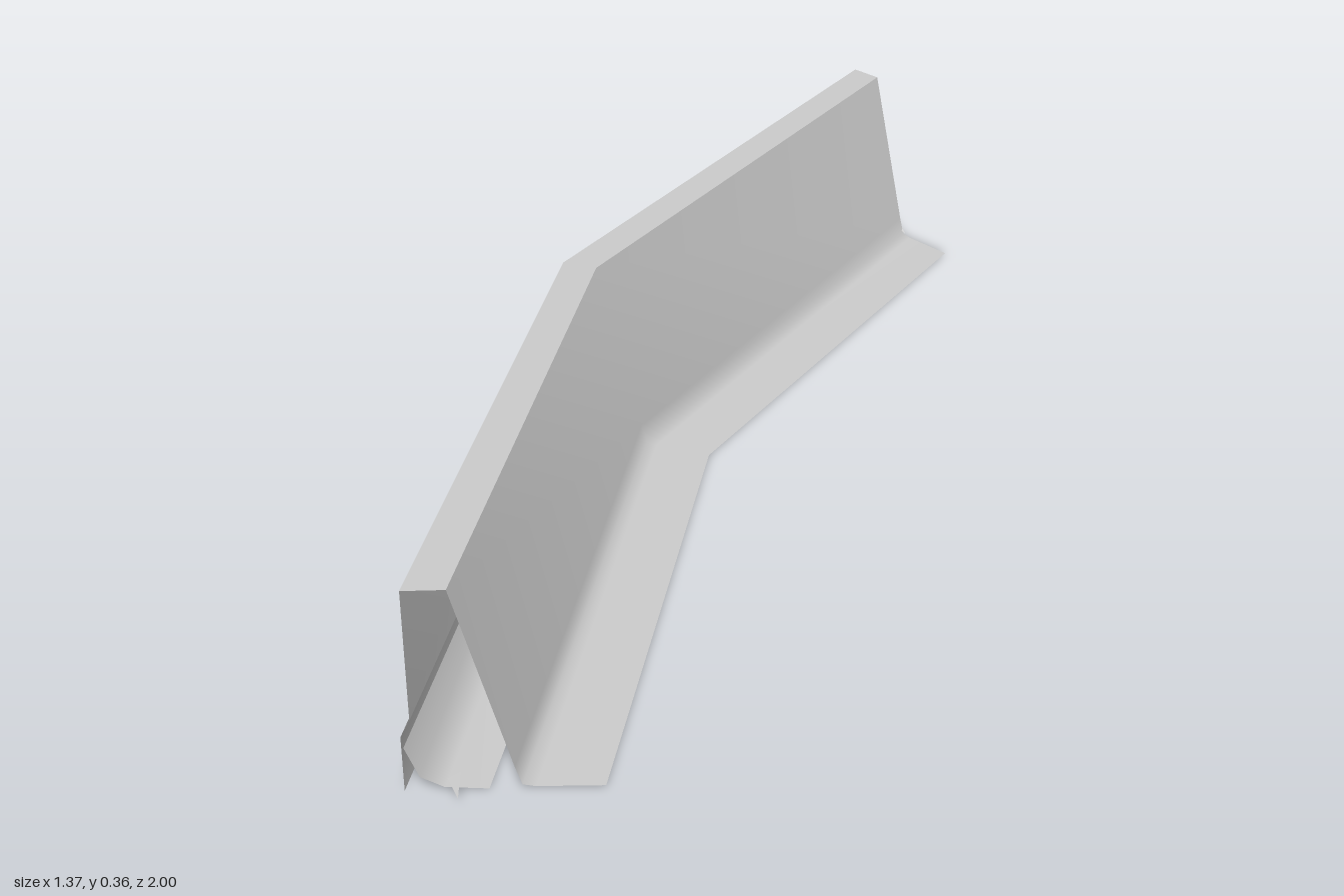
import * as THREE from 'three';

// Stations along the bent wall: back edge and front edge on the ground, as [x, z]
const STATIONS = [
  { back: [0.52, -1.0], front: [0.68, -0.73] },
  { back: [-0.29, -0.11], front: [-0.03, 0.05] },
  { back: [-0.685, 0.94], front: [-0.385, 0.99] },
];

// Point at a station: t runs from back edge (0) to front edge (1), y is height
function place({ back, front }, t, y) {
  return [
    THREE.MathUtils.lerp(back[0], front[0], t),
    y,
    THREE.MathUtils.lerp(back[1], front[1], t),
  ];
}

// Sweeps a [t, y] profile through the stations as a smooth open sheet
function sheet(name, profile, material) {
  const positions = [];
  const index = [];
  const n = profile.length;
  STATIONS.forEach((station, i) => {
    profile.forEach(([t, y], j) => {
      positions.push(...place(station, t, y));
      if (i < STATIONS.length - 1 && j < n - 1) {
        const a = i * n + j;
        index.push(a, a + n, a + 1, a + 1, a + n, a + n + 1);
      }
    });
  });
  return makeMesh(name, positions, index, material);
}

function makeMesh(name, positions, index, material) {
  const geometry = new THREE.BufferGeometry();
  geometry.setAttribute('position', new THREE.Float32BufferAttribute(positions, 3));
  geometry.setIndex(index);
  geometry.computeVertexNormals();
  const mesh = new THREE.Mesh(geometry, material);
  mesh.name = name;
  return mesh;
}

export function createModel() {
  const group = new THREE.Group();
  group.name = 'bentWall';
  const grey = new THREE.MeshStandardMaterial({ color: 0xcccccc, side: THREE.DoubleSide });
  grey.name = 'plain grey';

  // Back wall with its slightly projecting base
  group.add(sheet('backWall', [[0, 0], [0, 0.1], [0.05, 0.13], [0.05, 0.36]], grey));

  // Flat top edge
  group.add(sheet('topCap', [[0.05, 0.36], [0.27, 0.36]], grey));

  // Sloping front face that turns out into a flat ground flange
  group.add(sheet('frontFace',
    [[0.27, 0.36], [0.55, 0.04], [0.585, 0.006], [0.65, 0.002], [1, 0]], grey));

  // Curved floor strip inside the hollow wall
  group.add(sheet('innerFloor', [[0.42, 0], [0.2, 0.005], [0.08, 0.025], [0.01, 0.08]], grey));

  // Broken splinters at the open ends
  group.add(makeMesh('rightSplinter',
    [0.56, 0.04, -0.93, 0.6, 0.06, -0.94, 0.615, 0.01, -0.83], [0, 1, 2], grey));
  group.add(makeMesh('leftSplinter',
    [-0.62, 0.02, 0.95, -0.61, 0.02, 1.0, -0.6, 0.03, 0.95], [0, 1, 2], grey));

  return group;
}
